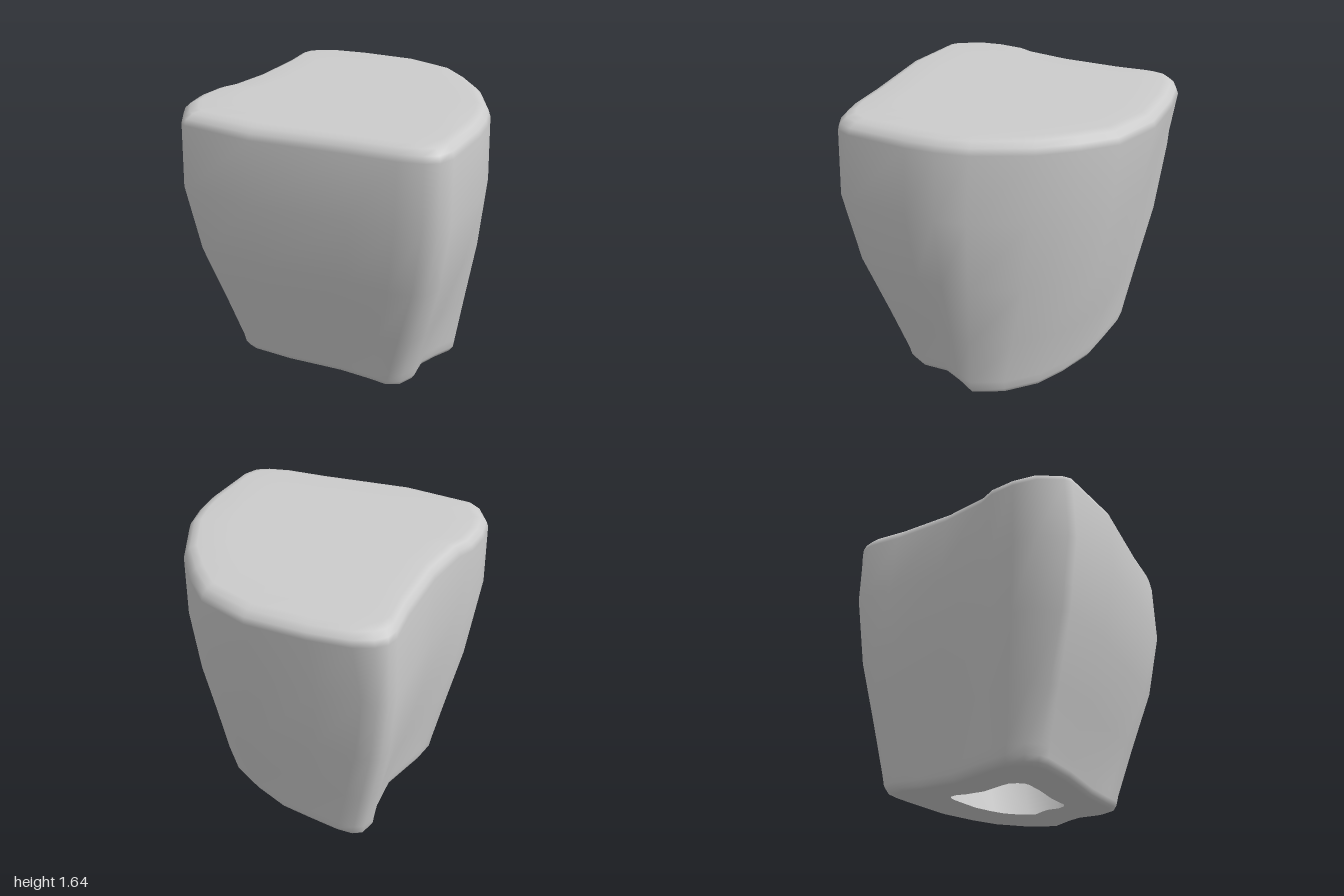
import * as THREE from 'three';

// Matching outlines [x, z] of the foot, the widest level and the rim, clockwise from the back ridge
const foot = [
  [0.2, -0.77], [0.26, -0.75], [0.33, -0.68], [0.44, -0.53], [0.56, -0.36], [0.65, -0.14],
  [0.7, 0.05], [0.69, 0.27], [0.62, 0.45], [0.49, 0.48], [0.37, 0.52], [0.26, 0.63],
  [0.16, 0.66], [0.08, 0.63], [0.01, 0.54], [-0.12, 0.39], [-0.38, 0.15], [-0.55, -0.04],
  [-0.575, -0.1], [-0.565, -0.18], [-0.52, -0.27], [-0.42, -0.33], [-0.33, -0.37],
  [-0.13, -0.46], [0.04, -0.62], [0.12, -0.73],
];
const belly = [
  [0.19, -1], [0.25, -0.985], [0.31, -0.93], [0.49, -0.75], [0.71, -0.53], [0.86, -0.27],
  [0.88, -0.05], [0.86, 0.2], [0.74, 0.5], [0.64, 0.64], [0.53, 0.76], [0.25, 0.97],
  [0.16, 1], [0.08, 0.975], [-0.04, 0.9], [-0.22, 0.72], [-0.64, 0.34], [-0.895, 0.01],
  [-0.9, -0.04], [-0.85, -0.2], [-0.75, -0.31], [-0.62, -0.4], [-0.52, -0.44],
  [-0.28, -0.6], [0, -0.85], [0.13, -0.97],
];
const rim = [
  [0.2, -0.995], [0.27, -0.99], [0.37, -0.945], [0.54, -0.8], [0.77, -0.55], [0.895, -0.27],
  [0.89, -0.05], [0.855, 0.18], [0.735, 0.48], [0.635, 0.62], [0.52, 0.74], [0.25, 0.955],
  [0.16, 0.985], [0.08, 0.96], [-0.03, 0.885], [-0.21, 0.71], [-0.625, 0.34], [-0.88, 0],
  [-0.885, -0.05], [-0.84, -0.2], [-0.745, -0.31], [-0.62, -0.4], [-0.52, -0.43],
  [-0.28, -0.58], [0, -0.82], [0.14, -0.965],
];
const outlines = [foot, belly, rim];

// Levels: [height, position along the outlines (0 foot, 1 belly, 2 rim), scale about the core]
const levels = [
  [0, 0, 0.48], [0, 0, 0.75], [0, 0, 0.91], [0.012, 0, 0.965], [0.045, 0, 0.995],
  [0.1, 0.03, 1], [0.4, 0.34, 1], [0.78, 0.75, 1], [1.2, 1, 1], [1.57, 2, 1],
  [1.605, 2, 0.985], [1.632, 2, 0.95], [1.645, 2, 0.9], [1.645, 2, 0.7],
];
const core = [0.1, -0.03];

export function createModel() {
  const group = new THREE.Group();
  const n = foot.length;
  const positions = [];
  const index = [];

  // Stack the blended outlines
  for (const [y, stage, scale] of levels) {
    const s = Math.min(Math.floor(stage), 1);
    for (let i = 0; i < n; i++) {
      const [x, z] = [0, 1].map((k) => {
        const v = THREE.MathUtils.lerp(outlines[s][i][k], outlines[s + 1][i][k], stage - s);
        return core[k] + (v - core[k]) * scale;
      });
      positions.push(x, y, z);
    }
  }

  // Skin between neighbouring levels
  for (let r = 0; r < levels.length - 1; r++) {
    for (let i = 0; i < n; i++) {
      const j = (i + 1) % n;
      const a = r * n + i, b = r * n + j;
      index.push(a, a + n, b, b, a + n, b + n);
    }
  }

  // Close the flat top; the underside keeps its opening
  const centre = positions.length / 3;
  const last = centre - n;
  positions.push(core[0], 1.645, core[1]);
  for (let i = 0; i < n; i++) index.push(last + i, centre, last + ((i + 1) % n));

  const geometry = new THREE.BufferGeometry();
  geometry.setAttribute('position', new THREE.Float32BufferAttribute(positions, 3));
  geometry.setIndex(index);
  geometry.computeVertexNormals();

  const shell = new THREE.Mesh(
    geometry,
    new THREE.MeshStandardMaterial({ color: 0xcccccc, side: THREE.DoubleSide }),
  );
  shell.name = 'roundedBlockShell';
  group.add(shell);
  return group;
}
